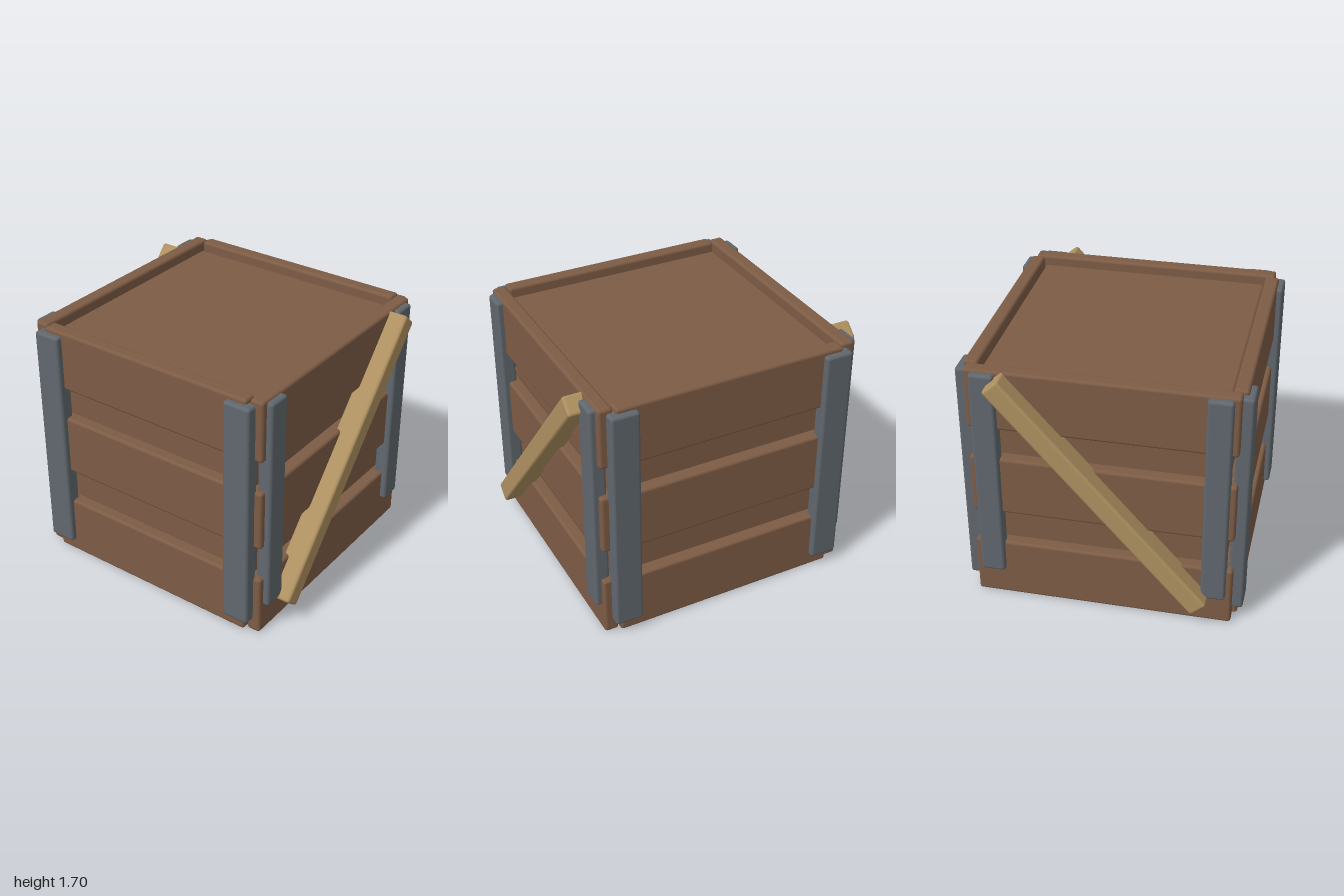
import * as THREE from 'three';
import { RoundedBoxGeometry } from 'three/addons/geometries/RoundedBoxGeometry.js';

const material = (name, color) => {
  const m = new THREE.MeshStandardMaterial({ color });
  m.name = name;
  return m;
};

export function createModel() {
  const crate = new THREE.Group();
  crate.name = 'crate';
  const wood = material('brown wood', 0x7d5c45);
  const metal = material('grey metal', 0x60676d);
  const paleWood = material('pale wood', 0xae9060);

  // Bevelled box given by its limits on each axis
  const board = (name, mat, [x0, x1], [y0, y1], [z0, z1], bevel = 0.02) => {
    const geometry = new RoundedBoxGeometry(x1 - x0, y1 - y0, z1 - z0, 2, bevel);
    const mesh = new THREE.Mesh(geometry, mat);
    mesh.name = name;
    mesh.position.set((x0 + x1) / 2, (y0 + y1) / 2, (z0 + z1) / 2);
    crate.add(mesh);
    return mesh;
  };
  // Limits of a span on the positive or negative side
  const span = (side, a, b) => (side > 0 ? [a, b] : [-b, -a]);

  // Inner box, recessed at the top and bottom
  board('innerBox', wood, [-0.78, 0.78], [0.06, 1.64], [-0.78, 0.78]);

  const rows = [[0, 0.42], [0.655, 1.07], [1.285, 1.7]];
  for (const s of [1, -1]) {
    const end = s > 0 ? 'front' : 'back';
    const flank = s > 0 ? 'left' : 'right';

    // Three horizontal planks on each wall
    for (const row of rows) {
      board(end + 'Plank', wood, [-0.85, 0.85], row, span(s, 0.785, 0.88));
      board(flank + 'Plank', wood, span(s, 0.785, 0.88), row, [-0.78, 0.78]);
    }

    // Upright metal straps near the corners
    for (const t of [1, -1]) {
      board(end + 'Strap', metal, span(t, 0.65, 0.81), [0.205, 1.685], span(s, 0.82, 0.92));
      board(flank + 'Strap', metal, span(s, 0.82, 0.92), [0.09, 1.67], span(t, 0.64, 0.83));
    }

    // Diagonal brace, rising towards +x on both ends
    const brace = board(end + 'Brace', paleWood, [-0.995, 0.995], [0.843, 0.977], span(s, 0.84, 1));
    brace.rotation.z = Math.atan2(1.49, 1.3);
  }
  return crate;
}
